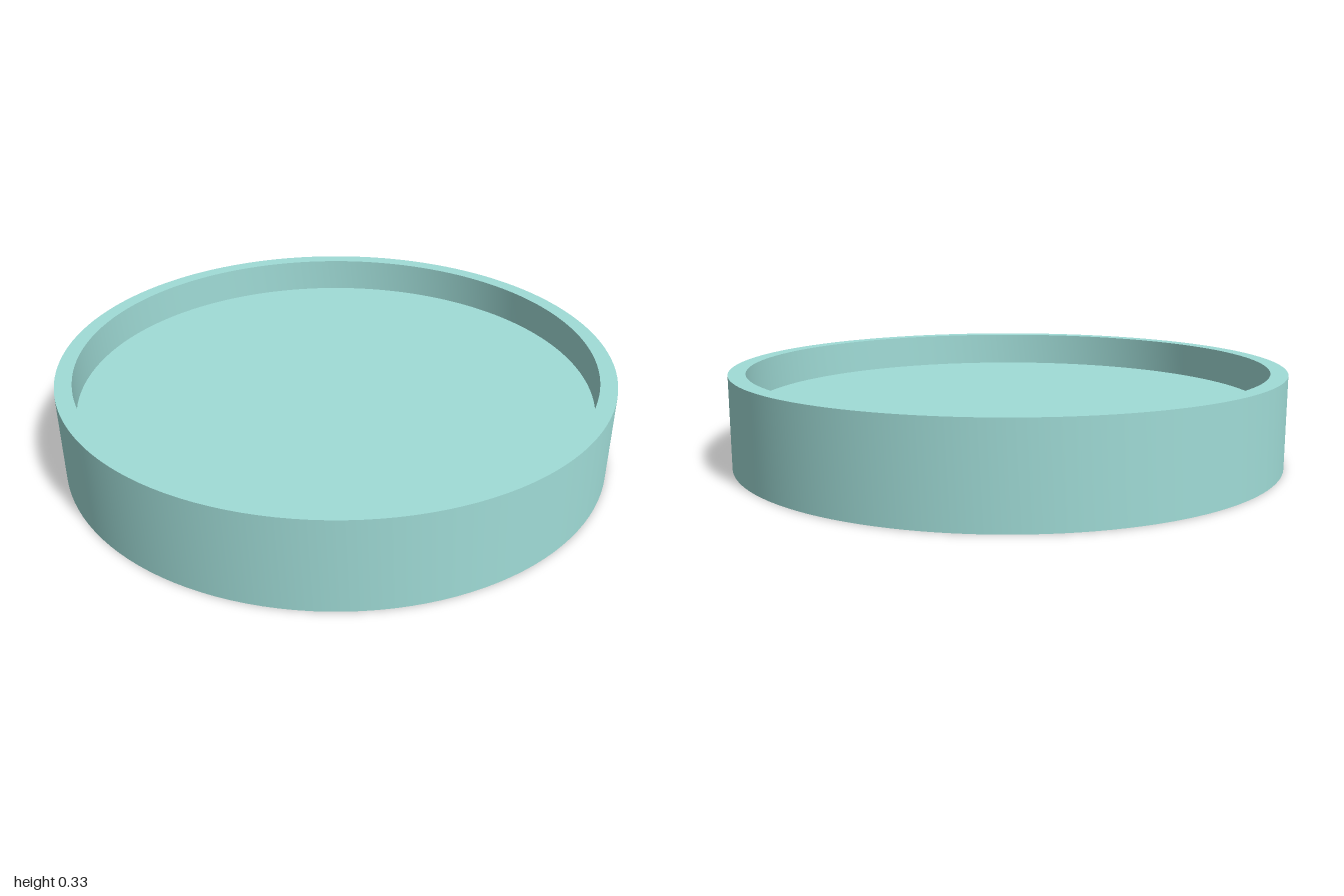
import * as THREE from 'three';
import { toCreasedNormals } from 'three/addons/utils/BufferGeometryUtils.js';

const HEIGHT = 0.33, FLOOR = 0.2, OUTER = 1, INNER = 0.94;

export function createModel() {
  const group = new THREE.Group();
  group.name = 'roundTray';

  // Closed profile: underside, outer wall, flat rim, inner wall, recessed floor
  const profile = [
    [0, 0], [OUTER, 0], [OUTER, HEIGHT],
    [INNER, HEIGHT], [INNER, FLOOR], [0, FLOOR],
  ].map(([r, y]) => new THREE.Vector2(r, y));

  const geometry = toCreasedNormals(new THREE.LatheGeometry(profile, 128), Math.PI / 6);
  const tray = new THREE.Mesh(geometry, new THREE.MeshStandardMaterial({ color: 0xa0dcd7 }));
  tray.name = 'trayBody';
  group.add(tray);

  return group;
}
